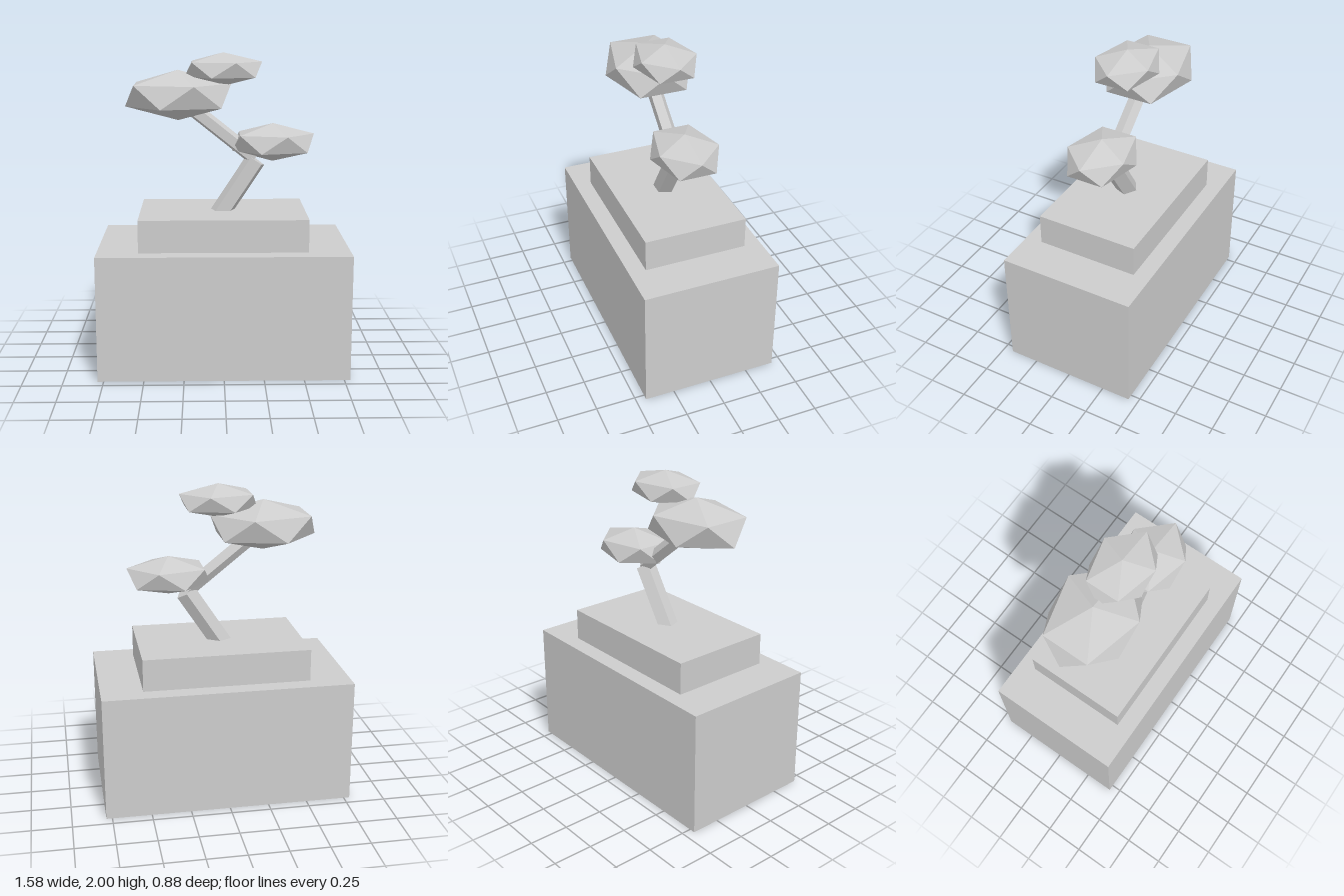
import * as THREE from 'three';

export function createModel() {
  const model = new THREE.Group();
  const grey = new THREE.MeshStandardMaterial({ color: 0xcccccc });
  grey.name = 'plainGrey';
  grey.flatShading = true;

  const add = (name, geometry) => {
    const mesh = new THREE.Mesh(geometry, grey);
    mesh.name = name;
    model.add(mesh);
    return mesh;
  };

  // Stepped plinth: large block with a smaller slab on top
  add('plinthBlock', new THREE.BoxGeometry(1.575, 0.795, 0.875)).position.y = 0.3975;
  add('plinthSlab', new THREE.BoxGeometry(1.055, 0.205, 0.66)).position.set(-0.002, 0.8975, 0);

  // Five-sided limb between two points in the x-y plane
  const limb = (name, radius, from, to) => {
    const a = new THREE.Vector3(...from);
    const b = new THREE.Vector3(...to);
    const start = THREE.MathUtils.degToRad(35);
    const mesh = add(name, new THREE.CylinderGeometry(radius, radius, a.distanceTo(b), 5, 1, false, start));
    mesh.position.copy(a).lerp(b, 0.5);
    mesh.quaternion.setFromUnitVectors(new THREE.Vector3(0, 1, 0), b.sub(a).normalize());
  };
  limb('trunk', 0.068, [-0.033, 0.95, 0], [0.21, 1.322, 0]);
  limb('branch', 0.05, [0.2, 1.335, 0], [-0.2, 1.655, 0]);

  // Flattened icosahedron with a corner straight up and its upper ring pointing to +x
  const foliage = (name, position, radii) => {
    const geometry = new THREE.IcosahedronGeometry(1, 0);
    geometry.rotateX(-Math.atan((1 + Math.sqrt(5)) / 2));
    geometry.rotateY(Math.PI / 2);
    geometry.scale(...radii);
    add(name, geometry).position.set(...position);
  };
  foliage('largeFoliage', [-0.283, 1.735, -0.003], [0.374, 0.158, 0.288]);
  foliage('topFoliage', [0.002, 1.897, -0.003], [0.272, 0.104, 0.205]);
  foliage('sideFoliage', [0.317, 1.436, -0.003], [0.292, 0.121, 0.222]);

  return model;
}
